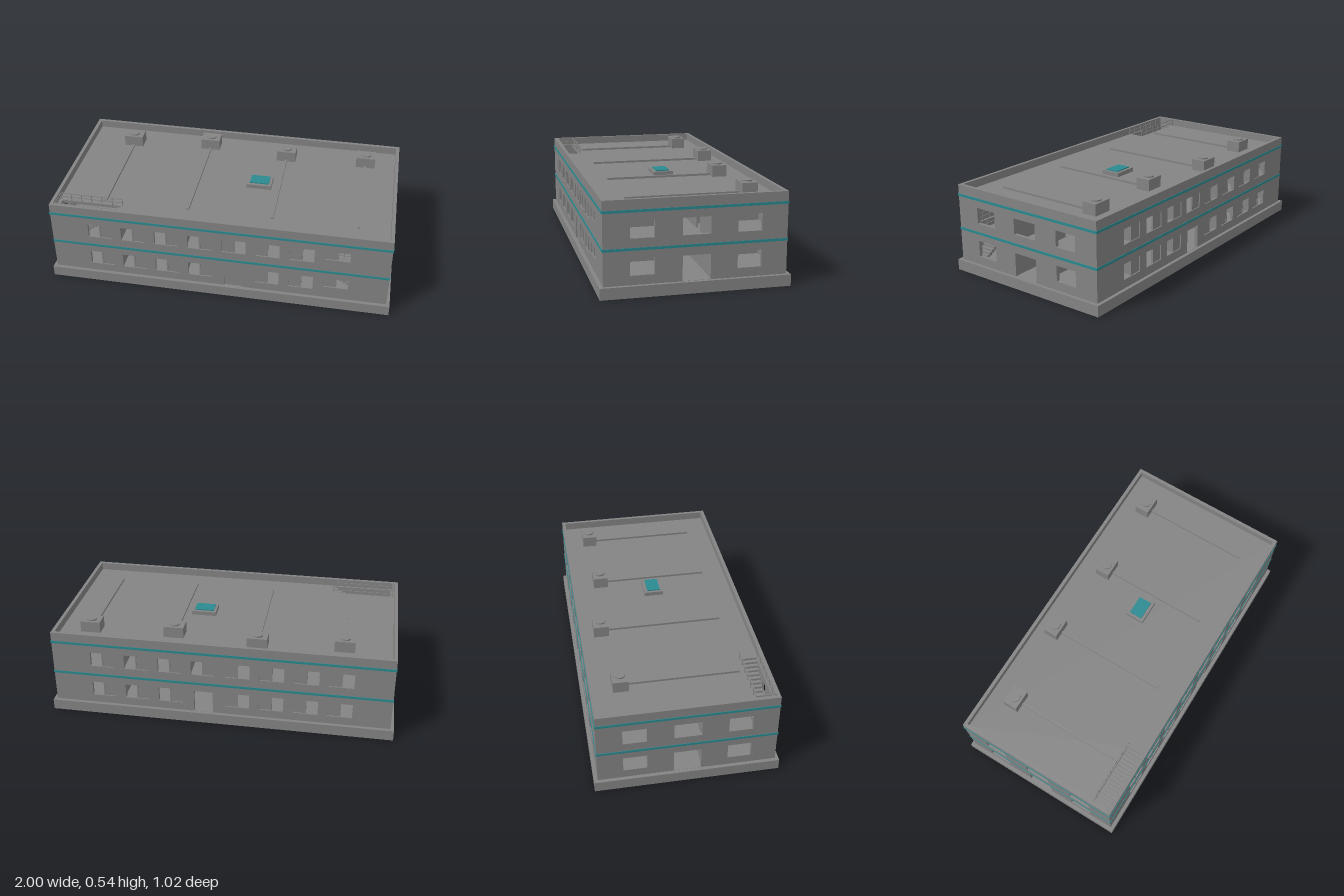
import * as THREE from 'three';

export function createModel() {
  const model = new THREE.Group();
  const grey = new THREE.MeshStandardMaterial({ color: 0x848484 });
  grey.name = 'concrete grey';
  const teal = new THREE.MeshStandardMaterial({ color: 0x2a8a90 });
  teal.name = 'teal';

  const add = (name, geo, mat = grey) => {
    const m = new THREE.Mesh(geo, mat);
    m.name = name;
    model.add(m);
    return m;
  };
  // box given by its minimum and maximum corners
  const box = (name, x0, x1, y0, y1, z0, z1, mat) => {
    const m = add(name, new THREE.BoxGeometry(x1 - x0, y1 - y0, z1 - z0), mat);
    m.position.set((x0 + x1) / 2, (y0 + y1) / 2, (z0 + z1) / 2);
    return m;
  };
  // rectangular plate with rectangular holes, each [x0, x1, y0, y1]
  const plate = (name, [x0, x1, y0, y1], holes, depth) => {
    const path = (P, a, b, c, d) => {
      const p = new P();
      p.moveTo(a, c); p.lineTo(b, c); p.lineTo(b, d); p.lineTo(a, d); p.closePath();
      return p;
    };
    const s = path(THREE.Shape, x0, x1, y0, y1);
    holes.forEach(h => s.holes.push(path(THREE.Path, ...h)));
    return add(name, new THREE.ExtrudeGeometry(s, { depth, bevelEnabled: false }));
  };

  const X = 0.98, Z = 0.49, T = 0.02, BASE = 0.063, FLOOR = 0.26, ROOF = 0.465, TOP = 0.51;
  box('base', -1, 1, 0, BASE, -0.51, 0.51);

  // window and door openings of the long walls
  const centres = [-0.69, -0.495, -0.298, -0.102, 0.095, 0.288, 0.485, 0.685];
  const door = [0.04, 0.15, BASE + 0.001, 0.2];
  const openings = front => {
    const list = [];
    centres.forEach((c, i) => {
      const short = front && i === 7;
      list.push([c - 0.07, c + 0.07, short ? 0.34 : 0.31, 0.398]);
      if (i !== 4) list.push([c - 0.07, c + 0.07, short ? 0.14 : 0.113, 0.202]);
    });
    return list;
  };
  for (const side of [1, -1]) {
    const wins = openings(side === 1);
    const z = side * (Z - T / 2);
    plate(side > 0 ? 'frontWall' : 'backWall', [-X, X, BASE, TOP], [...wins, door], T)
      .position.z = z - T / 2;
    // each window has one closed sash and one open half
    for (const [a, b, c, d] of wins) {
      const m = (a + b) / 2;
      const [p, q] = m < 0 ? [m, b] : [a, m];
      box('windowSash', p, q, c, d, z - 0.003, z + 0.003);
      box('windowMullion', m - 0.004, m + 0.004, c, d, z - 0.006, z + 0.006);
    }
    // end walls with corridor openings
    const sideHoles = [[-0.075, 0.075, BASE + 0.001, 0.2], [-0.075, 0.075, 0.308, 0.4]];
    for (const s of [-0.285, 0.285]) {
      sideHoles.push([s - 0.065, s + 0.065, 0.113, 0.204], [s - 0.065, s + 0.065, 0.308, 0.4]);
    }
    const end = plate(side > 0 ? 'leftEndWall' : 'rightEndWall', [-Z + T, Z - T, BASE, TOP], sideHoles, T);
    end.rotation.y = Math.PI / 2;
    end.position.x = side > 0 ? X - T : -X;

    // corridor walls with room doors
    plate('corridorWall', [-X + T, X - T, BASE, ROOF - 0.02], [
      [-0.765, -0.69, BASE + 0.001, 0.178], [-0.37, -0.3, BASE + 0.001, 0.178], [0.29, 0.36, BASE + 0.001, 0.178],
      [-0.37, -0.3, FLOOR + 0.001, 0.37], [0.29, 0.36, FLOOR + 0.001, 0.37], [0.685, 0.755, FLOOR + 0.001, 0.37],
    ], 0.01).position.z = side * 0.085 - 0.005;

    // room partitions
    for (const x of [-0.59, -0.2, 0.19, 0.59]) {
      box('partition', x - 0.005, x + 0.005, BASE, ROOF - 0.02,
        side > 0 ? 0.085 : -Z + T, side > 0 ? Z - T : -0.085);
    }
    // coloured belts
    for (const y of [0.252, 0.45]) {
      const f = side * (Z + 0.001), e = side * (X + 0.001);
      box('stripe', -X - 0.003, X + 0.003, y - 0.007, y + 0.007, f - 0.002, f + 0.002, teal);
      box('stripe', e - 0.002, e + 0.002, y - 0.007, y + 0.007, -Z, Z, teal);
    }
  }
  box('frontDoor', 0.04, 0.15, BASE, 0.2, 0.477, 0.483);
  box('receptionDesk', -0.13, -0.035, BASE, 0.17, 0.3, 0.36);
  box('deskStripe', -0.13, -0.035, 0.11, 0.122, 0.36, 0.364, teal);

  // floor and roof slabs with stair openings
  const slab = (name, y, hole) => {
    const m = plate(name, [-X + T, X - T, -Z + T, Z - T], [hole], 0.02);
    m.rotation.x = -Math.PI / 2;
    m.position.y = y - 0.02;
  };
  slab('upperFloor', FLOOR, [0.6, 0.94, -0.46, -0.37]);
  slab('roof', ROOF, [-0.94, -0.59, -0.46, -0.37]);

  // stairs: from the high end (x0, y0) down to the low end (x1, y1)
  const stairs = (x0, y0, x1, y1) => {
    const n = 16;
    for (let i = 0; i < n; i++) {
      const a = x0 + (x1 - x0) * i / n, b = x0 + (x1 - x0) * (i + 1) / n;
      const y = y0 + (y1 - y0) * (i + 1) / (n + 1);
      box('stairStep', Math.min(a, b), Math.max(a, b), y - 0.02, y, 0.37, 0.46);
    }
  };
  stairs(-0.59, ROOF, -0.93, FLOOR);
  stairs(0.6, FLOOR, 0.93, BASE);

  // railings round the stair openings
  const railing = (x0, x1, y) => {
    const r = 0.002, h = 0.047;
    for (const z of [0.365, 0.468]) {
      for (const k of [0.5, 1]) box('rail', x0, x1, y + h * k - 2 * r, y + h * k, z - r, z + r);
      for (let i = 0; i <= 6; i++) {
        const x = x0 + (x1 - x0) * i / 6;
        box('railPost', x - r, x + r, y, y + h, z - r, z + r);
      }
    }
    const closed = x0 < 0 ? x0 : x1;
    for (const k of [0.5, 1]) box('rail', closed - r, closed + r, y + h * k - 2 * r, y + h * k, 0.365, 0.468);
  };
  railing(-0.95, -0.58, ROOF);
  railing(0.6, 0.95, FLOOR);

  // rooftop cooling units with ducts
  [[-0.69, -0.322], [-0.2, -0.367], [0.29, -0.313], [0.78, -0.328]].forEach(([x, z]) => {
    box('coolingUnit', x - 0.058, x + 0.058, ROOF, 0.531, z - 0.043, z + 0.043);
    add('coolingFan', new THREE.CylinderGeometry(0.03, 0.03, 0.008, 16)).position.set(x, 0.535, z);
    box('roofDuct', x - 0.007, x + 0.007, ROOF, ROOF + 0.012, z + 0.043, 0.338);
  });

  // skylight
  box('skylightCurb', 0.097, 0.243, ROOF, ROOF + 0.024, -0.06, 0.054);
  box('skylightGlass', 0.113, 0.227, ROOF + 0.024, ROOF + 0.03, -0.042, 0.036, teal);
  return model;
}
